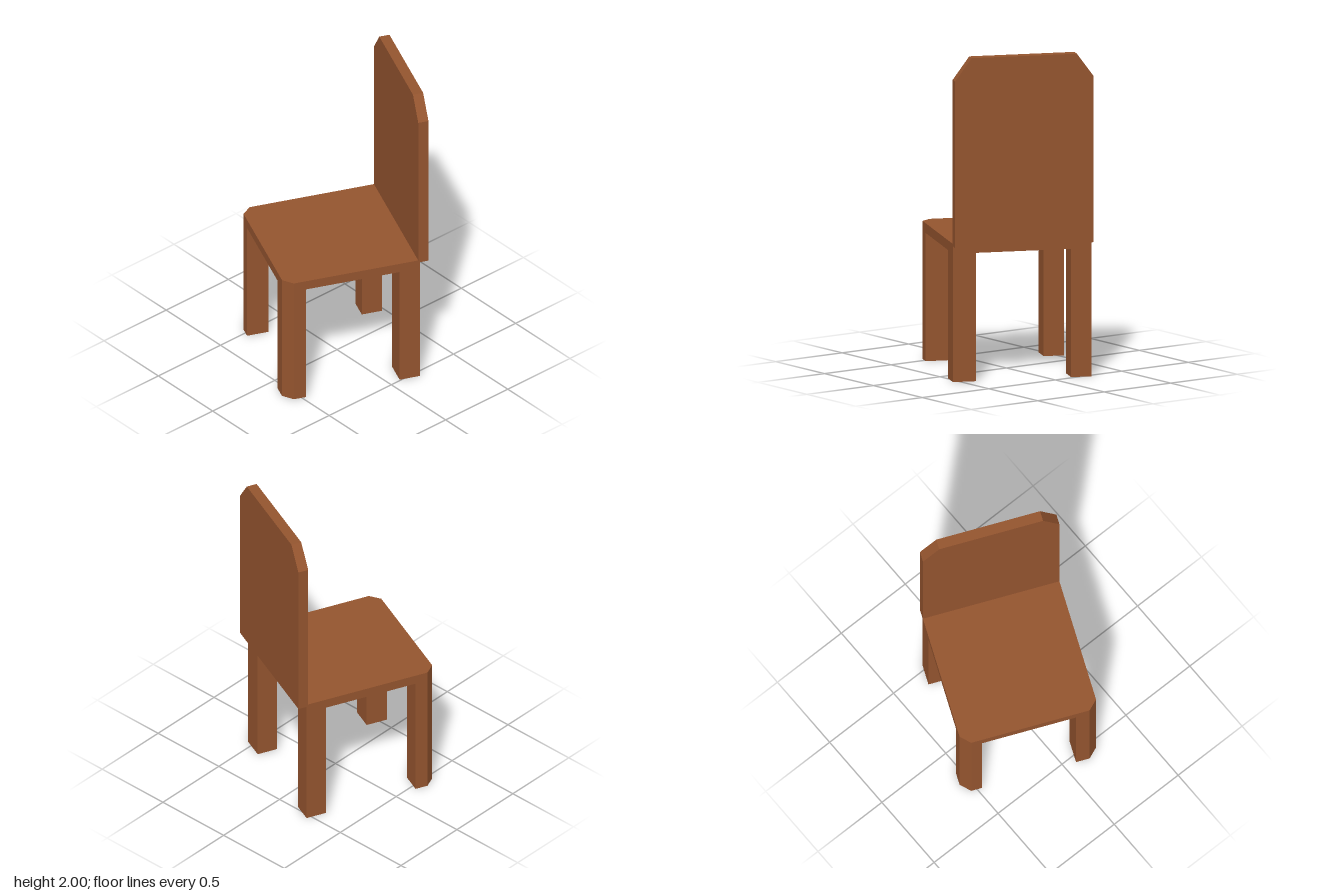
import * as THREE from 'three';

const wood = new THREE.MeshStandardMaterial({ color: 0x95552f, side: THREE.DoubleSide });
wood.name = 'brown wood';

// Plan extents of the chair before it is turned
const L = -0.437, R = 0.424, BACK = -0.39, FRONT = 0.471;
const LEG_L = -0.311, LEG_R = 0.281, LEG_B = -0.26, LEG_F = 0.335;
const SEAT_Y = 0.79, SEAT_TOP = 0.85, CUT = 0.057;

function part(name, geometry) {
  const mesh = new THREE.Mesh(geometry, wood);
  mesh.name = name;
  return mesh;
}

function outline(points) {
  return new THREE.Shape(points.map(([x, y]) => new THREE.Vector2(x, y)));
}

// Upright prism from an [x, z] plan
function slab(plan, y, height) {
  const geo = new THREE.ExtrudeGeometry(outline(plan.map(([x, z]) => [x, -z])), { depth: height, bevelEnabled: false });
  return geo.rotateX(-Math.PI / 2).translate(0, y, 0);
}

// Hollow upright walls, open at the foot; plan runs from back left to front left
function tube(plan, height) {
  const pos = [];
  plan.forEach(([x0, z0], i) => {
    const [x1, z1] = plan[(i + 1) % plan.length];
    pos.push(x0, 0, z0, x0, height, z0, x1, height, z1);
    pos.push(x0, 0, z0, x1, height, z1, x1, 0, z1);
  });
  const geo = new THREE.BufferGeometry();
  geo.setAttribute('position', new THREE.Float32BufferAttribute(pos, 3));
  geo.computeVertexNormals();
  return geo;
}

export function createModel() {
  const group = new THREE.Group();
  group.name = 'chair';

  // Seat with clipped front corners
  group.add(part('seat', slab([
    [L, BACK], [R, BACK], [R, FRONT - CUT], [R - CUT, FRONT], [L + CUT, FRONT], [L, FRONT - CUT],
  ], SEAT_Y, SEAT_TOP - SEAT_Y)));

  // Backrest with clipped top corners
  const rest = new THREE.ExtrudeGeometry(outline([
    [L, 0.835], [R, 0.835], [R, 1.86], [R - 0.103, 2], [L + 0.103, 2], [L, 1.86],
  ]), { depth: 0.065, bevelEnabled: false });
  group.add(part('backrest', rest.translate(0, 0, -0.444)));

  // Legs; the front ones follow the clipped seat corners
  const legs = {
    backRightLeg: [[L, BACK], [LEG_L, BACK], [LEG_L, LEG_B], [L, LEG_B]],
    backLeftLeg: [[LEG_R, BACK], [R, BACK], [R, LEG_B], [LEG_R, LEG_B]],
    frontRightLeg: [[L, LEG_F], [LEG_L, LEG_F], [LEG_L, FRONT], [L + CUT, FRONT], [L, FRONT - CUT]],
    frontLeftLeg: [[LEG_R, LEG_F], [R, LEG_F], [R, FRONT - CUT], [R - CUT, FRONT], [LEG_R, FRONT]],
  };
  for (const [name, plan] of Object.entries(legs)) group.add(part(name, tube(plan, SEAT_Y)));

  // The whole chair stands turned on the spot
  group.rotation.y = THREE.MathUtils.degToRad(-23);
  return group;
}
